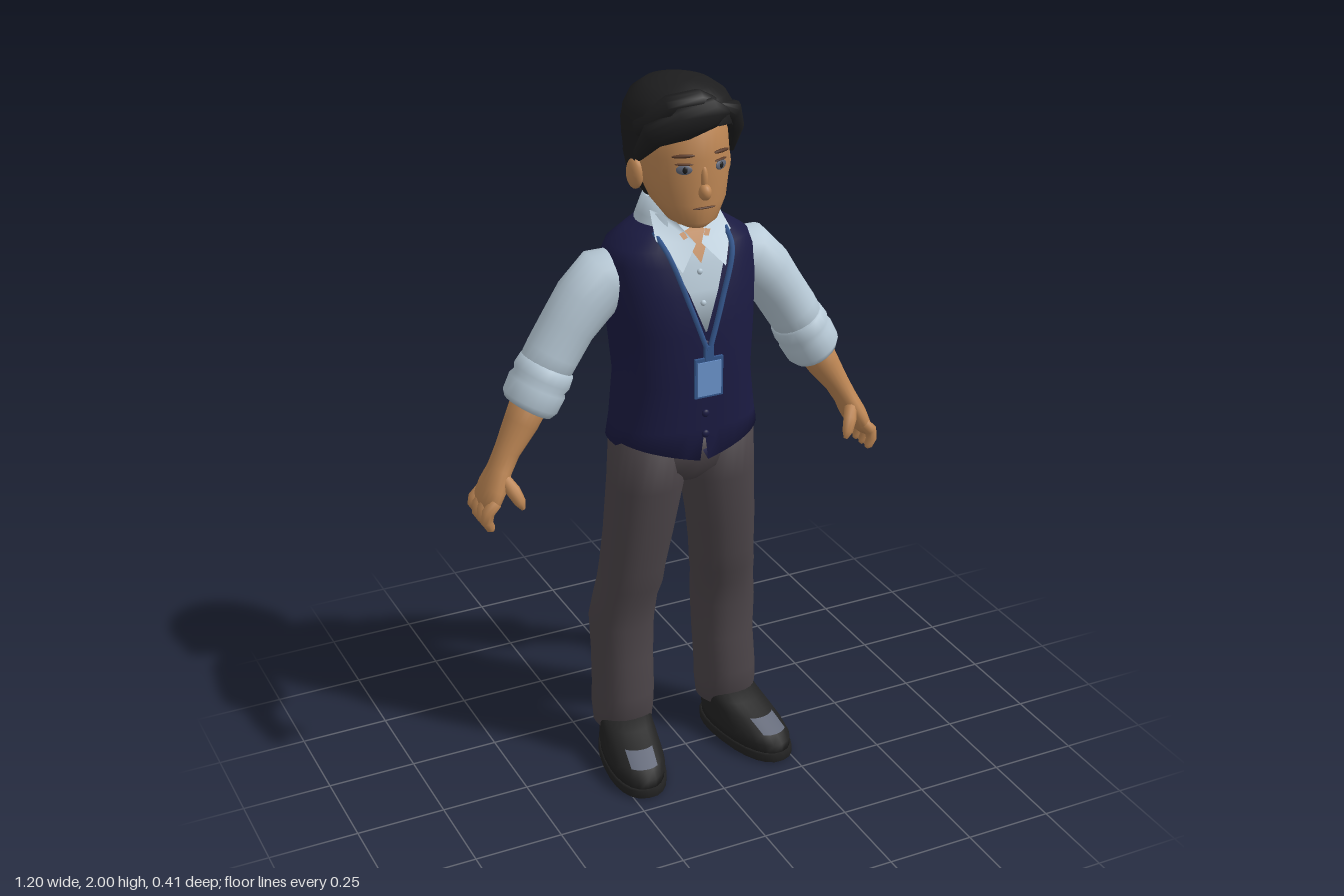
import * as THREE from 'three';
import { mergeVertices } from 'three/addons/utils/BufferGeometryUtils.js';

const mat = (name, color) => {
  const m = new THREE.MeshStandardMaterial({ color, side: THREE.DoubleSide });
  m.name = name;
  return m;
};

// Skin over rings [x, y, z, halfWidth, halfDepth, gap]. A positive gap (radians) opens
// the front, a negative one keeps only a front arc. 'path' turns rings along their path.
function loft(rings, { n = 24, path = false, p = 1, move = null, caps = true } = {}) {
  const pos = [], index = [], m = rings.length;
  const c = rings.map(r => new THREE.Vector3(r[0], r[1], r[2]));
  rings.forEach(([, , , ru, rv, gap = 0], i) => {
    const w = new THREE.Vector3(0, 1, 0);
    if (path) w.subVectors(c[Math.min(i + 1, m - 1)], c[Math.max(i - 1, 0)]).normalize();
    const v = new THREE.Vector3(0, 0, -1);
    v.addScaledVector(w, -v.dot(w)).normalize();
    const u = new THREE.Vector3().crossVectors(v, w);
    const t0 = gap, t1 = gap < 0 ? -gap : 2 * Math.PI - gap;
    for (let j = 0; j <= n; j++) {
      const t = t0 + (t1 - t0) * j / n, s = Math.sin(t), k = Math.cos(t);
      const q = c[i].clone()
        .addScaledVector(u, ru * Math.sign(s) * Math.abs(s) ** p)
        .addScaledVector(v, -rv * Math.sign(k) * Math.abs(k) ** p);
      if (move) move(q, i);
      pos.push(q.x, q.y, q.z);
    }
  });
  for (let i = 0; i < m - 1; i++) for (let j = 0; j < n; j++) {
    const a = i * (n + 1) + j, b = a + n + 1;
    index.push(a, a + 1, b + 1, a, b + 1, b);
  }
  if (caps) [0, m - 1].forEach(i => {
    if (rings[i][5]) return;
    const k = pos.length / 3, a = i * (n + 1);
    pos.push(...c[i].toArray());
    for (let j = 0; j < n; j++) i ? index.push(k, a + j, a + j + 1) : index.push(k, a + j + 1, a + j);
  });
  const g = new THREE.BufferGeometry();
  g.setAttribute('position', new THREE.Float32BufferAttribute(pos, 3));
  g.setIndex(index);
  const out = mergeVertices(g, 1e-4);
  out.computeVertexNormals();
  return out;
}

// Flat panel from a few corners
function panel(points) {
  const g = new THREE.BufferGeometry();
  g.setAttribute('position', new THREE.Float32BufferAttribute(points.flat(), 3));
  g.setIndex(points.slice(2).flatMap((_, i) => [0, i + 1, i + 2]));
  g.computeVertexNormals();
  return g;
}

export function createModel() {
  const root = new THREE.Group();
  root.name = 'standingMan';
  const skin = mat('skin', 0xbd8654), hair = mat('hair', 0x1d1d1e), navy = mat('vestNavy', 0x1b1b42);
  const shirt = mat('shirtBlue', 0xb9cbd8), cloth = mat('trouserGrey', 0x4b4448), shoe = mat('shoeBlack', 0x222222);
  const strap = mat('lanyardBlue', 0x34568c), card = mat('badgeBlue', 0x6a93cc);
  const grey = mat('slateGrey', 0x626878), brown = mat('browBrown', 0x5a3a28);
  const add = (name, geo, m, parent = root) => {
    const mesh = new THREE.Mesh(geo, m);
    mesh.name = name;
    parent.add(mesh);
    return mesh;
  };
  const ball = (name, m, [x, y, z], [a, b, c], ry = 0, rz = 0) => {
    const o = add(name, new THREE.SphereGeometry(1, 16, 12), m);
    o.position.set(x, y, z);
    o.scale.set(a, b, c);
    o.rotation.set(0, ry, rz);
    return o;
  };
  const side = (s, rings) => rings.map(([x, ...r]) => [s * x, ...r]);

  // Vest with a V opening and pointed front hem
  const vest = [
    [0, 1.02, -.03, .18, .115, 0.03], [0, 1.005, -.03, .21, .145, .03], [0, 1.07, -.027, .202, .143],
    [0, 1.2, -.028, .186, .15], [0, 1.35, -.038, .196, .163], [0, 1.46, -.05, .206, .16, .14],
    [0, 1.53, -.055, .206, .143, .27], [0, 1.57, -.052, .192, .128, .4], [0, 1.605, -.052, .14, .108, .6],
    [0, 1.625, -.06, .105, .088, .75]];
  const hem = (q, i) => {
    if (i < 2) q.y += q.z > 0 ? .025 - .055 * Math.max(0, 1 - Math.abs(q.x) / .2) : .01;
  };
  add('vest', loft(vest, { n: 40, p: .82, move: hem }), navy);
  add('shirtBody', loft(vest.slice(4).map(([x, y, z, a, b]) => [x, y, z, a - .012, b - .012]), { n: 40, p: .82 }), shirt);
  [1.06, 1.12, 1.32].forEach(y => ball('vestButton', navy, [0, y, .122], [.011, .011, .007]));
  [1.43, 1.51].forEach(y => ball('shirtButton', shirt, [0, y, y > 1.5 ? .085 : .106], [.008, .008, .006]));

  // Neck, throat and collar
  add('neck', loft([[0, 1.54, -.05, .085, .085], [0, 1.62, -.05, .07, .075], [0, 1.7, -.045, .068, .075]]), skin);
  add('throat', panel([[-.045, 1.61, .055], [0, 1.535, .092], [.045, 1.61, .055], [0, 1.62, .04]]), skin);
  add('collarBand', loft([[0, 1.6, -.055, .122, .108, .55], [0, 1.64, -.06, .105, .095, .6],
    [0, 1.685, -.062, .086, .082, .75], [0, 1.66, -.06, .076, .075, .75]], { p: .95 }), shirt);
  for (const s of [1, -1]) {
    add('collarFlap', panel([[s * .008, 1.585, .078], [s * .062, 1.525, .112], [s * .108, 1.6, .045],
      [s * .094, 1.66, -.02], [s * .05, 1.645, .03]]), shirt);
    // Lanyard strap
    const line = new THREE.CatmullRomCurve3([[.1, 1.61, .02], [.09, 1.565, .092], [.048, 1.44, .122], [.004, 1.31, .138]]
      .map(([x, y, z]) => new THREE.Vector3(s * x, y, z)));
    add('lanyardStrap', new THREE.TubeGeometry(line, 20, .0075, 6), strap);
  }

  // Badge
  add('badgeFrame', new THREE.BoxGeometry(.082, .112, .008), strap).position.set(0, 1.232, .138);
  add('badgeCard', new THREE.BoxGeometry(.068, .096, .008), card).position.set(0, 1.23, .141);
  add('badgeClip', new THREE.BoxGeometry(.024, .04, .012), strap).position.set(0, 1.3, .138);

  // Head
  add('head', loft([[0, 1.632, .045, .034, .045], [0, 1.65, .035, .066, .072], [0, 1.7, .01, .1, .1],
    [0, 1.76, -.02, .118, .13], [0, 1.82, -.03, .122, .14], [0, 1.89, -.04, .12, .14], [0, 1.95, -.04, .09, .1]],
    { n: 32 }), skin);
  ball('nose', skin, [0, 1.735, .112], [.017, .022, .02]);
  ball('noseBridge', skin, [0, 1.77, .104], [.011, .035, .014]);
  ball('mouth', brown, [0, 1.692, .109], [.032, .003, .005]);
  for (const s of [1, -1]) {
    ball('ear', skin, [s * .128, 1.76, -.035], [.018, .042, .028], s * -.3);
    ball('eye', grey, [s * .052, 1.797, .098], [.021, .013, .005], s * .46);
    ball('pupil', hair, [s * .051, 1.797, .102], [.007, .009, .004], s * .46);
    ball('upperLid', brown, [s * .052, 1.811, .097], [.024, .003, .006], s * .46);
    ball('eyebrow', brown, [s * .054, 1.833, .097], [.03, .005, .006], s * .46, s * -.06);
  }

  // Hair cap and swept fringe
  add('hairCap', loft([[0, 1.68, -.06, .085, .085, 1.95], [0, 1.74, -.06, .122, .125, 1.85],
    [0, 1.79, -.055, .136, .142, 1.4], [0, 1.85, -.05, .143, .152, 1.05], [0, 1.89, -.046, .146, .156, .75],
    [0, 1.9, -.044, .145, .155, .3], [0, 1.925, -.043, .141, .152], [0, 1.96, -.045, .121, .135],
    [0, 1.985, -.045, .085, .1], [0, 1.997, -.045, .04, .05]], { n: 36 }), hair);
  add('hairUnderside', loft([[0, 1.68, -.09, .075, .055], [0, 1.74, -.095, .115, .088], [0, 1.8, -.085, .13, .11],
    [0, 1.87, -.07, .13, .125]]), hair);
  const locks = [
    [[.08, 1.925, .07, .012, .012], [.03, 1.935, .095, .04, .025], [-.05, 1.915, .092, .045, .026],
      [-.115, 1.88, .045, .035, .03], [-.136, 1.82, 0, .012, .02]],
    [[.06, 1.95, .06, .01, .012], [.0, 1.965, .075, .03, .03], [-.07, 1.95, .06, .035, .035], [-.13, 1.89, -.01, .02, .03]],
    [[.06, 1.94, .07, .012, .012], [.1, 1.92, .055, .032, .025], [.128, 1.87, .02, .026, .028], [.134, 1.8, -.015, .01, .018]]];
  locks.forEach(r => add('fringeLock', loft(r, { n: 12, path: true }), hair));

  // Arms
  for (const s of [1, -1]) {
    const arm = new THREE.Group();
    arm.name = s > 0 ? 'leftArm' : 'rightArm';
    root.add(arm);
    const limb = (name, rings, m, n = 20) => add(name, loft(side(s, rings), { n, path: true }), m, arm);
    limb('sleeve', [[.13, 1.495, -.065, .06, .07], [.21, 1.475, -.065, .088, .08], [.265, 1.42, -.067, .082, .083],
      [.31, 1.36, -.07, .074, .078], [.355, 1.29, -.07, .074, .075], [.4, 1.215, -.07, .07, .075]], shirt);
    limb('rolledCuff', [[.368, 1.265, -.068, .06, .065], [.372, 1.258, -.068, .076, .08], [.388, 1.23, -.068, .08, .085],
      [.396, 1.215, -.068, .074, .079], [.402, 1.205, -.068, .08, .086], [.424, 1.165, -.066, .078, .084],
      [.432, 1.15, -.066, .068, .072], [.43, 1.155, -.066, .05, .055]], shirt);
    limb('forearm', [[.41, 1.19, -.068, .055, .056], [.455, 1.11, -.06, .046, .05], [.5, 1.04, -.052, .034, .04],
      [.525, .995, -.046, .031, .045], [.548, .95, -.043, .032, .062], [.565, .915, -.043, .028, .065],
      [.575, .89, -.043, .014, .055]], skin);
    for (let k = 0; k < 4; k++) {
      const z = -.095 + k * .034, d = k === 0 ? .012 : 0;
      limb('finger', [[.558, .925, z, .017, .016], [.582, .9, z, .018, .017], [.586, .872 + d, z, .016, .015],
        [.576, .852 + d, z, .013, .013], [.57, .845 + d, z, .005, .005]], skin, 10);
    }
    limb('thumb', [[.53, .985, -.02, .018, .018], [.51, .95, .012, .02, .018], [.497, .92, .024, .016, .015],
      [.49, .9, .026, .006, .006]], skin, 10);
  }

  // Trousers
  add('trouserSeat', loft([[0, .885, -.032, .05, .07], [0, .93, -.032, .15, .108], [0, .98, -.03, .195, .115],
    [0, 1.05, -.03, .198, .115]], { p: .9 }), cloth);
  for (const s of [1, -1]) {
    add('trouserLeg', loft(side(s, [[.165, .09, -.08, .07, .07], [.165, .1, -.08, .083, .08], [.165, .15, -.08, .086, .092],
      [.163, .21, -.078, .085, .097], [.16, .32, -.088, .086, .092], [.16, .43, -.09, .09, .094],
      [.152, .51, -.077, .088, .09], [.144, .56, -.063, .09, .094], [.138, .62, -.055, .09, .094],
      [.127, .72, -.042, .094, .1], [.108, .88, -.032, .103, .109], [.103, 1.03, -.028, .1, .113]]), { p: .9 }), cloth);
    // Shoe, turned slightly out
    const foot = new THREE.Group();
    foot.name = s > 0 ? 'leftShoe' : 'rightShoe';
    foot.position.set(s * .165, 0, -.08);
    foot.rotation.y = s * .17;
    root.add(foot);
    add('sole', loft([[0, 0, .105, .078, .178], [0, .004, .105, .084, .184], [0, .026, .105, .084, .184],
      [0, .03, .105, .078, .178]], { p: .85 }), shoe, foot);
    add('shoeUpper', loft([[0, .025, .105, .079, .178], [0, .055, .104, .082, .178], [0, .075, .092, .079, .164],
      [0, .1, .06, .076, .132], [0, .12, .025, .075, .1], [0, .145, .0, .07, .075]], { p: .88 }), shoe, foot);
    add('toePatch', loft([[0, .079, .095, .079, .164, -.45], [0, .104, .063, .076, .132, -.5]],
      { p: .88, n: 10 }), grey, foot);
  }
  return root;
}
